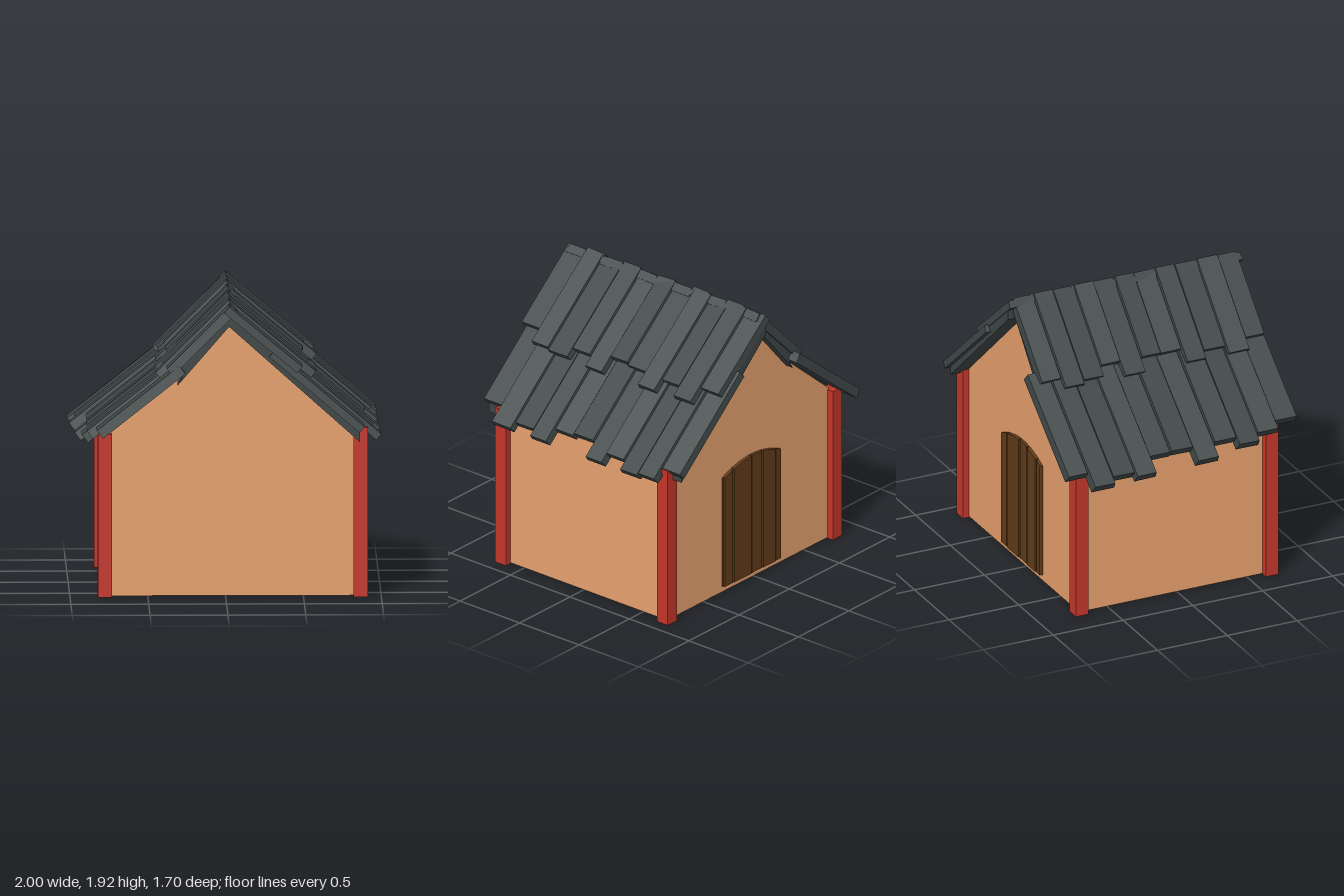
import * as THREE from 'three';

const mat = (name, color) => Object.assign(new THREE.MeshStandardMaterial({ color }), { name });

export function createModel() {
  const plaster = mat('plaster', 0xe6a06d);
  const redWood = mat('red wood', 0xc4372b);
  const slate = mat('dark roof wood', 0x3e4646);
  const doorWood = mat('door wood', 0x613b18);

  const model = new THREE.Group();
  model.name = 'hut';
  const add = (parent, name, geometry, material) => {
    const mesh = new THREE.Mesh(geometry, material);
    mesh.name = name;
    parent.add(mesh);
  };
  const group = (name) => {
    const g = new THREE.Group();
    g.name = name;
    model.add(g);
    return g;
  };
  // Outline in x and y, extruded from z0 to z1
  const slab = (points, z0, z1) => {
    const shape = new THREE.Shape(points.map(([x, y]) => new THREE.Vector2(x, y)));
    return new THREE.ExtrudeGeometry(shape, { depth: z1 - z0, bevelEnabled: false }).translate(0, 0, z0);
  };

  // House body with gables
  const left = 0.868, right = -0.775, front = 0.655, back = -0.705;
  add(model, 'walls', slab([[right, 0.005], [left, 0.005], [left, 1.08], [0.02, 1.775],
    [-0.3, 1.44], [right, 1.04]], back, front), plaster);

  // Corner posts
  const posts = group('cornerPosts');
  for (const x of [left, right]) for (const z of [front, back]) {
    const h = x > 0 ? 1.1 : 1.06;
    add(posts, 'cornerPost', new THREE.BoxGeometry(0.092, h, 0.09).translate(x, h / 2, z), redWood);
  }

  // Barge boards outside both gables
  const barges = group('bargeBoards');
  const longBoard = [[0.02, 1.77], [0.86, 1.02], [0.86, 1.12], [0.02, 1.86]];
  const shortBoard = [[0.02, 1.77], [0.02, 1.86], [-0.3, 1.52], [-0.28, 1.44], [-0.31, 1.39]];
  add(barges, 'frontLongBargeBoard', slab(longBoard, 0.66, 0.8), slate);
  add(barges, 'frontShortBargeBoard', slab(shortBoard, 0.66, 0.8), slate);
  add(barges, 'backLongBargeBoard', slab(longBoard, -0.82, -0.71), slate);
  add(barges, 'backShortBargeBoard', slab(shortBoard, -0.77, -0.71), slate);

  // One roof plank: slopes down from (x0, y0) to xEnd, top face slightly narrower
  const plank = ({ x0, y0, slope, thickness }, xEnd, z0, z1, lift, roll) => {
    const side = Math.sign(xEnd - x0);
    const length = Math.abs(xEnd - x0) * Math.hypot(1, slope);
    const width = z1 - z0 + 0.012;
    const g = new THREE.BoxGeometry(length, thickness, width);
    const p = g.attributes.position;
    for (let i = 0; i < p.count; i++) {
      if (p.getY(i) > 0) p.setZ(i, p.getZ(i) - Math.sign(p.getZ(i)) * 0.01);
    }
    g.computeVertexNormals();
    return g.rotateX(roll).translate(side * length / 2, lift - thickness / 2, 0)
      .rotateZ(-side * Math.atan(slope)).translate(x0, y0, (z0 + z1) / 2);
  };

  // Each course: top edge, slope, plank borders along z, and the x where each plank ends
  const courses = [
    { name: 'leftUpperPlanks', x0: 0.02, y0: 1.905, slope: 0.83, thickness: 0.052,
      z: [-0.82, -0.67, -0.52, -0.37, -0.23, -0.07, 0.08, 0.22, 0.37, 0.54, 0.68, 0.84],
      ends: [0.49, 0.58, 0.52, 0.59, 0.51, 0.5, 0.59, 0.53, 0.58, 0.57, 0.49] },
    { name: 'leftLowerPlanks', x0: 0.31, y0: 1.615, slope: 0.85, thickness: 0.05,
      z: [-0.85, -0.7, -0.56, -0.41, -0.26, -0.12, 0.05, 0.2, 0.34, 0.5, 0.66, 0.82],
      ends: [0.91, 0.98, 0.99, 0.94, 0.99, 0.9, 0.91, 0.99, 0.95, 0.99, 0.89] },
    { name: 'rightUpperPlanks', x0: 0.03, y0: 1.91, slope: 1.0, thickness: 0.06,
      z: [-0.78, -0.64, -0.5, -0.35, -0.21, -0.06, 0.08, 0.23, 0.37, 0.53, 0.68, 0.82],
      ends: [-0.39, -0.44, -0.42, -0.37, -0.44, -0.37, -0.37, -0.44, -0.4, -0.44, -0.38] },
    { name: 'rightLowerPlanks', x0: -0.3, y0: 1.52, slope: 0.79, thickness: 0.064,
      z: [-0.84, -0.7, -0.55, -0.39, -0.25, -0.1, 0.06, 0.21, 0.37, 0.52, 0.67, 0.83],
      ends: [-0.9, -0.99, -0.95, -0.98, -0.88, -0.88, -0.96, -0.88, -0.92, -0.88, -0.83] },
  ];
  const lifts = [0, 0.013, 0.003, 0.015, 0, 0.008];
  for (const c of courses) {
    const course = group(c.name);
    c.ends.forEach((end, i) => {
      const roll = (i % 3 - 1) * 0.035;
      add(course, 'roofPlank', plank(c, end, c.z[i], c.z[i + 1], lifts[i % 6], roll), slate);
    });
  }

  // Arched plank door on the back wall, with a thin backing behind the gaps
  const door = group('door');
  const edges = [-0.25, -0.19, -0.06, 0.05, 0.23, 0.32];
  const top = (x) => 0.885 - 0.8 * (x - 0.035) ** 2;
  const boards = (a, b, depth) => slab([[a, 0.045], [b, 0.045], [b, top(b)],
    [(a + b) / 2, top((a + b) / 2)], [a, top(a)]], back - depth, back + 0.01);
  for (let i = 0; i < 5; i++) {
    const a = edges[i], b = edges[i + 1];
    add(door, 'doorBacking', boards(a, b, 0.008), doorWood);
    add(door, 'doorPlank', boards(a + 0.005, b - 0.005, 0.02 + (i % 2) * 0.004), doorWood);
  }
  return model;
}
